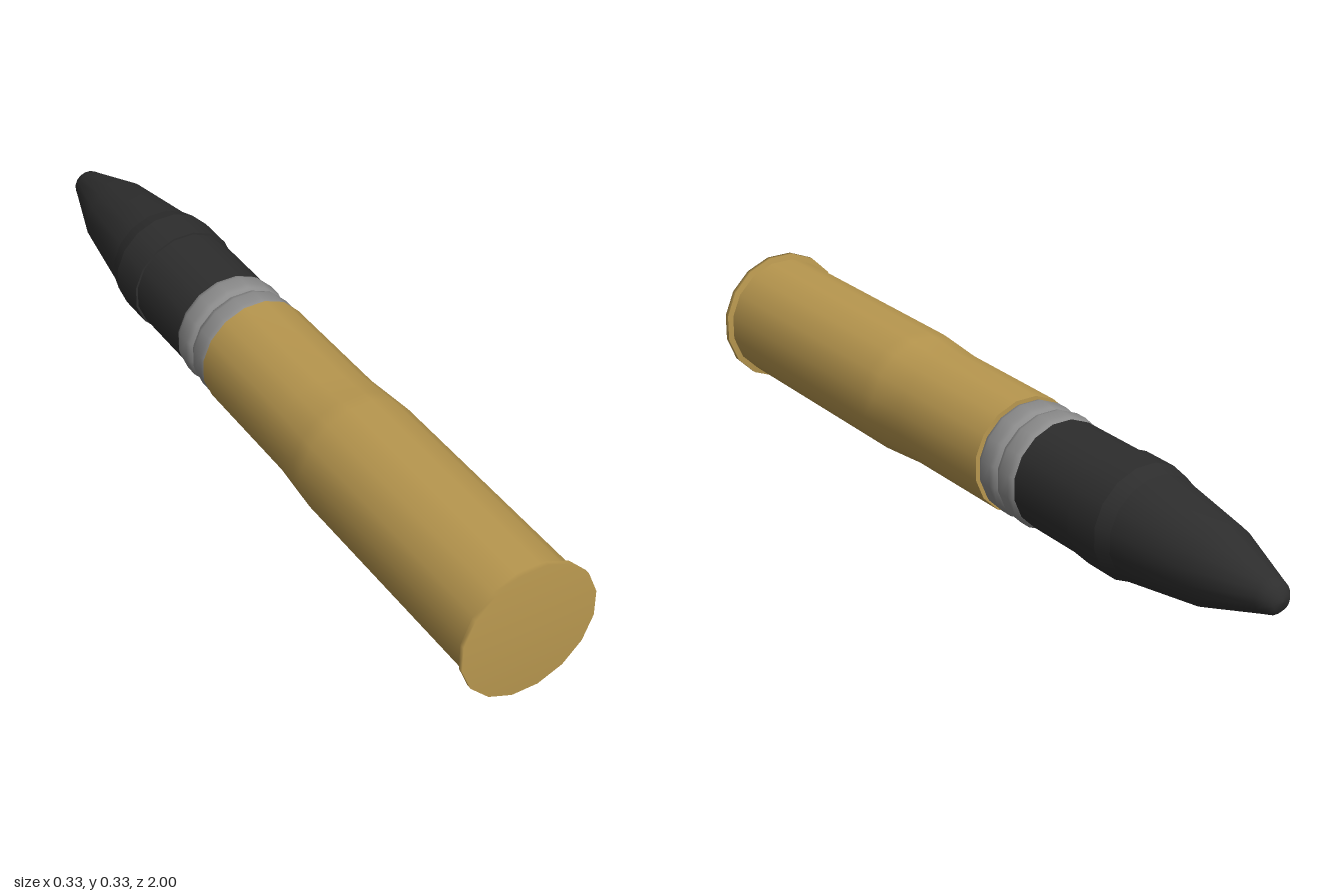
import * as THREE from 'three';

const SIDES = 16;
const AXIS_Y = 0.166;

// Turned section: points are [flat-to-centre radius, z], running from +z to -z on outer faces
function turned(name, material, points) {
  const k = 1 / Math.cos(Math.PI / SIDES);
  const profile = points.map(([r, z]) => new THREE.Vector2(r * k, -z));
  const geometry = new THREE.LatheGeometry(profile, SIDES, Math.PI / SIDES);
  geometry.rotateX(-Math.PI / 2);
  const mesh = new THREE.Mesh(geometry, material);
  mesh.name = name;
  return mesh;
}

function colour(name, hex) {
  const material = new THREE.MeshStandardMaterial({ color: hex });
  material.name = name;
  return material;
}

export function createModel() {
  const brass = colour('brass', 0xb9984f);
  const steel = colour('grey metal', 0x8c8c8c);
  const dark = colour('dark metal', 0x2e2e2e);

  // Cartridge case: base with rim, necked body, open mouth
  const cartridge = new THREE.Group();
  cartridge.name = 'case';
  cartridge.add(
    turned('base', brass, [[0, 1], [0.166, 1], [0.166, 0.988]]),
    turned('rimBack', brass, [[0.166, 0.988], [0.151, 0.985]]),
    turned('caseBody', brass, [[0.152, 0.988], [0.152, 0.35], [0.149, 0.31], [0.141, 0.21], [0.14, -0.112]]),
    turned('mouthLip', brass, [[0.14, -0.112], [0.126, -0.112]]),
  );

  // Two driving bands with a groove between them
  const bands = new THREE.Group();
  bands.name = 'drivingBands';
  for (const z of [-0.112, -0.183]) {
    bands.add(turned('band', steel, [
      [0.127, z], [0.133, z - 0.006], [0.137, z - 0.018],
      [0.137, z - 0.05], [0.133, z - 0.062], [0.127, z - 0.069],
    ]));
  }
  bands.add(turned('groove', steel, [[0.127, -0.178], [0.127, -0.186]]));

  // Projectile: shank, raised collar, tapering nose with a rounded tip
  const projectile = new THREE.Group();
  projectile.name = 'projectile';
  projectile.add(
    turned('shank', dark, [[0.131, -0.25], [0.131, -0.455]]),
    turned('shankBack', dark, [[0.12, -0.25], [0.131, -0.25]]),
    turned('collarStep', dark, [[0.131, -0.455], [0.136, -0.455]]),
    turned('collar', dark, [[0.136, -0.455], [0.136, -0.55]]),
    turned('shoulder', dark, [[0.136, -0.55], [0.125, -0.59]]),
    turned('nose', dark, [
      [0.125, -0.59], [0.094, -0.8], [0.042, -0.96], [0.036, -0.98], [0.022, -0.995], [0, -1],
    ]),
  );

  const model = new THREE.Group();
  model.name = 'shell';
  model.add(cartridge, bands, projectile);
  for (const part of model.children) part.position.y = AXIS_Y;
  return model;
}
